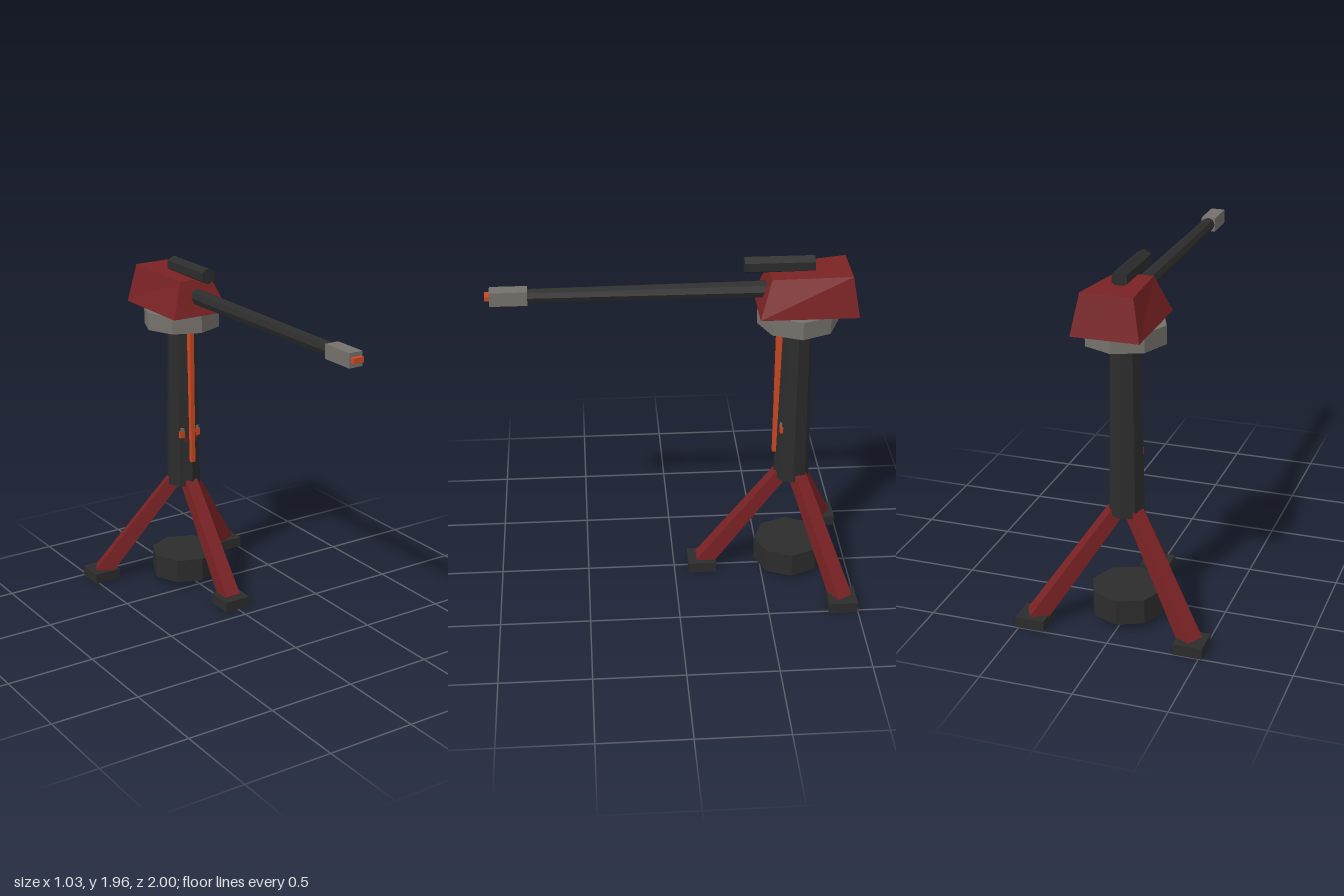
import * as THREE from 'three';

const material = (name, color) => {
  const m = new THREE.MeshStandardMaterial({ color });
  m.name = name;
  return m;
};

export function createModel() {
  const model = new THREE.Group();
  model.name = 'tripodTurret';
  const red = material('darkRed', 0x7a2224);
  const dark = material('charcoal', 0x2c2c2c);
  const grey = material('warmGrey', 0x75706b);
  const orange = material('orange', 0xcc4820);
  const AXIS_Z = -0.665; // vertical axis of the stand

  // Adds a faceted mesh
  const add = (parent, name, geometry, mat, x, y, z) => {
    const g = geometry.toNonIndexed();
    g.computeVertexNormals();
    const mesh = new THREE.Mesh(g, mat);
    mesh.name = name;
    mesh.position.set(x, y, z);
    parent.add(mesh);
    return mesh;
  };
  const box = (w, h, d) => new THREE.BoxGeometry(w, h, d);
  const prism = (rTop, rBottom, h, sides = 8) => new THREE.CylinderGeometry(rTop, rBottom, h, sides);

  // Tapered square strut running along +y
  const strut = (topW, bottomW, h) => {
    const g = box(1, h, 1);
    const p = g.attributes.position;
    for (let i = 0; i < p.count; i++) {
      const w = p.getY(i) > 0 ? topW : bottomW;
      p.setX(i, p.getX(i) * w);
      p.setZ(i, p.getZ(i) * w);
    }
    return g;
  };

  // Three splayed legs with square feet
  const inner = { r: 0.06, y: 0.625 }, outer = { r: 0.5, y: 0.04 };
  const run = outer.r - inner.r, drop = inner.y - outer.y;
  ['front', 'rearLeft', 'rearRight'].forEach((side, i) => {
    const angle = (i * Math.PI * 2) / 3;
    const pivot = new THREE.Group();
    pivot.name = side + 'LegPivot';
    pivot.position.z = AXIS_Z;
    pivot.rotation.y = angle;
    model.add(pivot);
    const leg = add(pivot, side + 'Leg', strut(0.074, 0.092, Math.hypot(run, drop)), red,
      0, (inner.y + outer.y) / 2, (inner.r + outer.r) / 2);
    leg.rotation.x = -Math.atan2(run, drop);
    add(model, side + 'Foot', box(0.16, 0.06, 0.16), dark,
      Math.sin(angle) * 0.505, 0.03, AXIS_Z + Math.cos(angle) * 0.505);
  });

  // Base drum, column and turntable
  add(model, 'baseDrum', prism(0.2, 0.2, 0.14), dark, 0, 0.105, AXIS_Z);
  add(model, 'column', prism(0.083, 0.1, 0.98), dark, 0, 1.1, AXIS_Z);
  add(model, 'turntable', prism(0.22, 0.22, 0.1), grey, 0, 1.625, AXIS_Z);

  // Cable strip and small trim plates on the column front
  add(model, 'cableStrip', box(0.026, 0.82, 0.034), orange, 0, 1.175, -0.569);
  add(model, 'trimBar', box(0.136, 0.04, 0.02), orange, 0, 0.935, -0.595);
  add(model, 'trimCap', box(0.12, 0.02, 0.02), grey, 0, 0.965, -0.597);
  const wedge = new THREE.Shape([[-0.055, 0.915], [0, 0.84], [0.055, 0.915]].map(([x, y]) => new THREE.Vector2(x, y)));
  add(model, 'trimWedge', new THREE.ExtrudeGeometry(wedge, { depth: 0.02, bevelEnabled: false }), red, 0, 0, -0.601);

  // Turret housing: a box narrowed to a sloping roof
  const housing = box(2, 2, 2);
  const p = housing.attributes.position;
  for (let i = 0; i < p.count; i++) {
    const sx = p.getX(i), front = p.getZ(i) > 0;
    if (p.getY(i) < 0) p.setXYZ(i, sx * 0.18, 1.675, front ? -0.443 : -0.968);
    else p.setXYZ(i, sx * (front ? 0.1 : 0.138), front ? 1.871 : 1.895, front ? -0.508 : -0.93);
  }
  add(model, 'turretHousing', housing, red, 0, 0, 0);

  // Barrel, muzzle and tip
  const barrel = prism(0.038, 0.048, 1.38);
  barrel.rotateX(Math.PI / 2);
  add(model, 'barrel', barrel, dark, 0, 1.775, 0.09);
  add(model, 'muzzle', box(0.08, 0.078, 0.2), grey, 0, 1.774, 0.875);
  add(model, 'muzzleTip', box(0.06, 0.028, 0.04), orange, 0, 1.776, 0.98);

  // Six-sided sight on the roof
  const sight = prism(0.046, 0.046, 0.374, 6);
  sight.rotateX(Math.PI / 2);
  add(model, 'sight', sight, dark, 0, 1.917, -0.556);

  return model;
}
